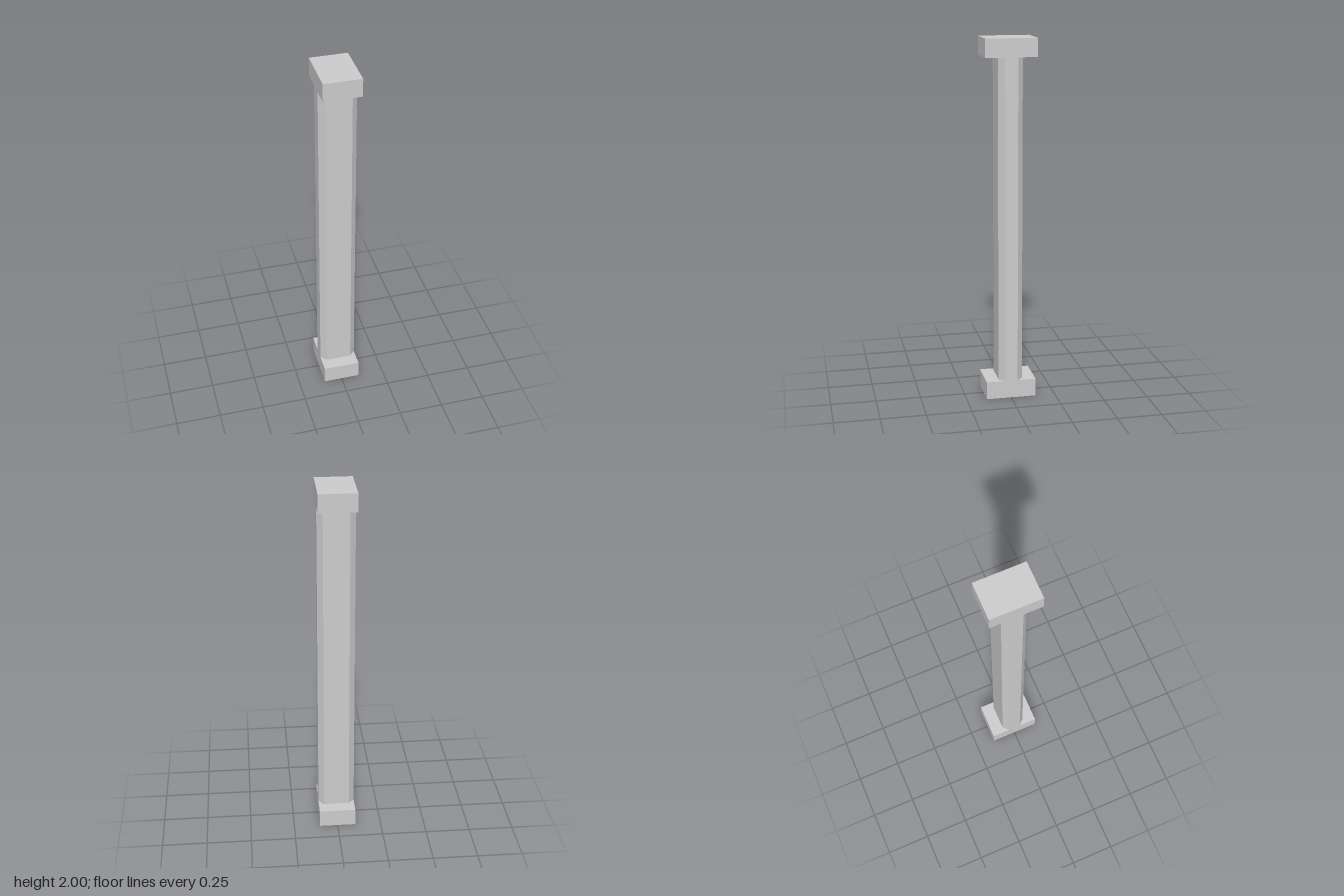
import * as THREE from 'three';

const W = 0.205, D = 0.28, CAP = 0.1, H = 2; // overall width, depth, block height, total height

export function createModel() {
  const group = new THREE.Group();
  const material = new THREE.MeshStandardMaterial({ color: 0xcccccc, flatShading: true });
  const add = (name, geometry, y) => {
    const mesh = new THREE.Mesh(geometry, material);
    mesh.name = name;
    mesh.position.y = y;
    group.add(mesh);
  };

  // Base and capital blocks
  add('base', new THREE.BoxGeometry(W, CAP, D), CAP / 2);
  add('capital', new THREE.BoxGeometry(W, CAP, D), H - CAP / 2);

  // Shaft: rectangle with chamfered corners, extruded upward
  const x = W / 2, z = 0.067, c = 0.031;
  const outline = [
    [x, z - c], [x - c, z], [c - x, z], [-x, z - c],
    [-x, c - z], [c - x, -z], [x - c, -z], [x, c - z],
  ].map(([px, py]) => new THREE.Vector2(px, py));
  const shaft = new THREE.ExtrudeGeometry(new THREE.Shape(outline), {
    depth: H - 2 * CAP, bevelEnabled: false,
  });
  shaft.rotateX(-Math.PI / 2);
  add('shaft', shaft, CAP);

  return group;
}
